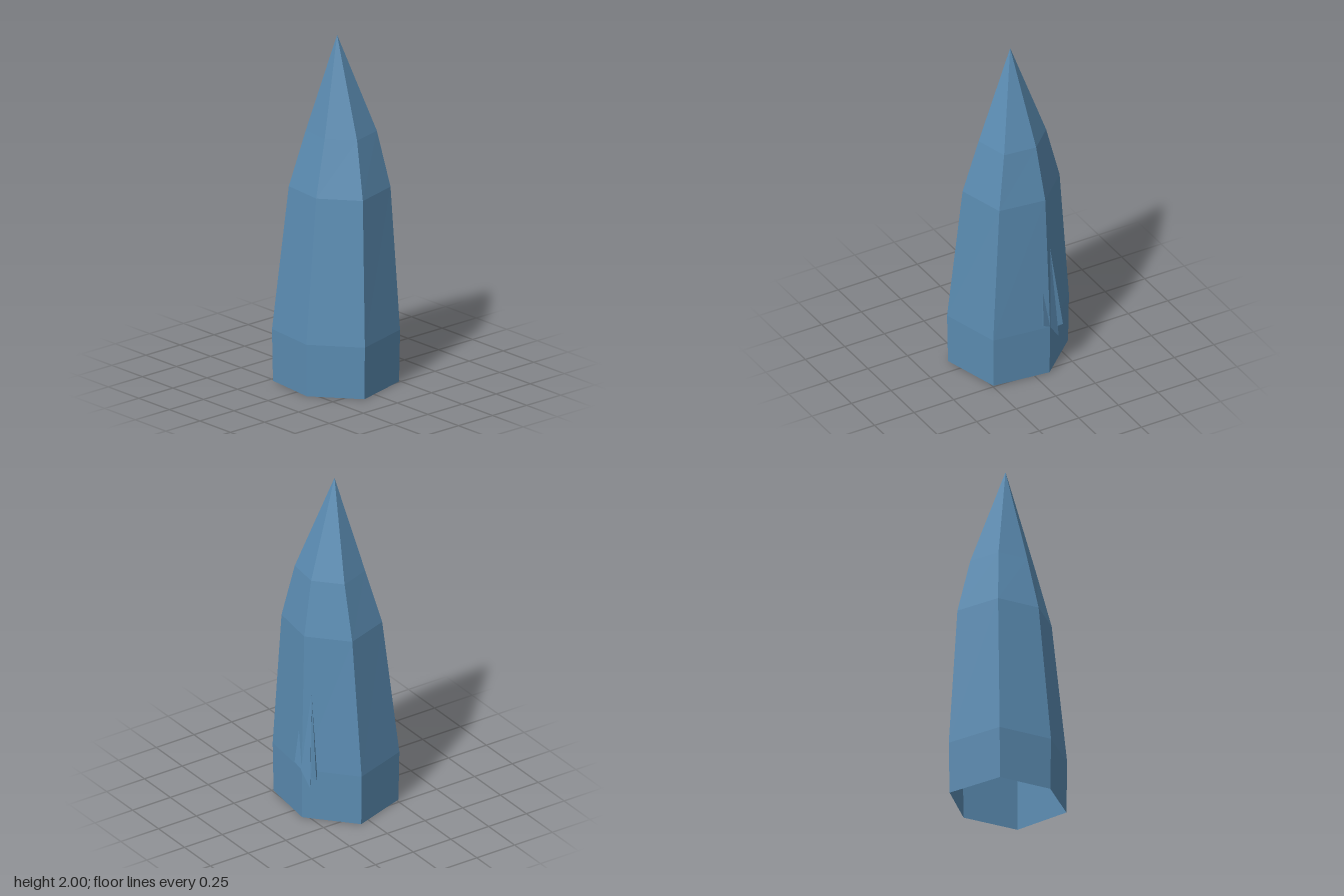
import * as THREE from 'three';

// Skin stacked rings of [x, y, z] corners (counter-clockwise from above) up to a tip, base left open
function crystalGeometry(rings, tip) {
  const pos = [];
  const n = rings[0].length;
  rings.forEach((ring, r) => {
    const next = rings[r + 1];
    for (let i = 0; i < n; i++) {
      const j = (i + 1) % n;
      if (next) pos.push(...ring[i], ...ring[j], ...next[j], ...ring[i], ...next[j], ...next[i]);
      else pos.push(...ring[i], ...ring[j], ...tip);
    }
  });
  const geometry = new THREE.BufferGeometry();
  geometry.setAttribute('position', new THREE.Float32BufferAttribute(pos, 3));
  geometry.computeVertexNormals();
  return geometry;
}

export function createModel() {
  const group = new THREE.Group();
  group.name = 'crystal';
  const blue = new THREE.MeshStandardMaterial({ color: 0x5b8cb2, flatShading: true, side: THREE.DoubleSide });
  blue.name = 'crystal blue';

  const add = (name, rings, tip) => {
    const mesh = new THREE.Mesh(crystalGeometry(rings, tip), blue);
    mesh.name = name;
    group.add(mesh);
  };
  const level = (y, corners) => corners.map(([x, z]) => [x, y, z]);

  // Main six-sided crystal
  const foot = [[0.06, -0.34], [-0.267, -0.228], [-0.3, 0.09], [-0.095, 0.34], [0.246, 0.247], [0.285, -0.09]];
  const shoulder = [[0.075, -0.272], [-0.185, -0.182], [-0.21, 0.07], [-0.047, 0.27], [0.223, 0.195], [0.258, -0.075]];
  const neck = [[0.07, -0.19], [-0.11, -0.127], [-0.13, 0.05], [-0.015, 0.187], [0.175, 0.137], [0.197, -0.053]];
  add('mainCrystal', [
    level(0, foot.map(([x, z]) => [x * 0.985, z * 0.985])),
    level(0.3, foot),
    level(1.12, shoulder),
    level(1.44, neck),
  ], [0.006, 2, 0]);

  // Two splinters clinging to the side edge
  add('largeSplinter', [[
    [0.29, 0.3, -0.09], [0.272, 0.21, -0.152], [0.25, 0.26, -0.125], [0.256, 0.27, -0.188], [0.228, 0.28, -0.155],
  ]], [0.238, 0.78, -0.117]);
  add('smallSplinter', [[
    [0.285, 0.3, -0.09], [0.272, 0.31, -0.045], [0.298, 0.33, -0.04],
  ]], [0.276, 0.53, -0.05]);

  return group;
}
